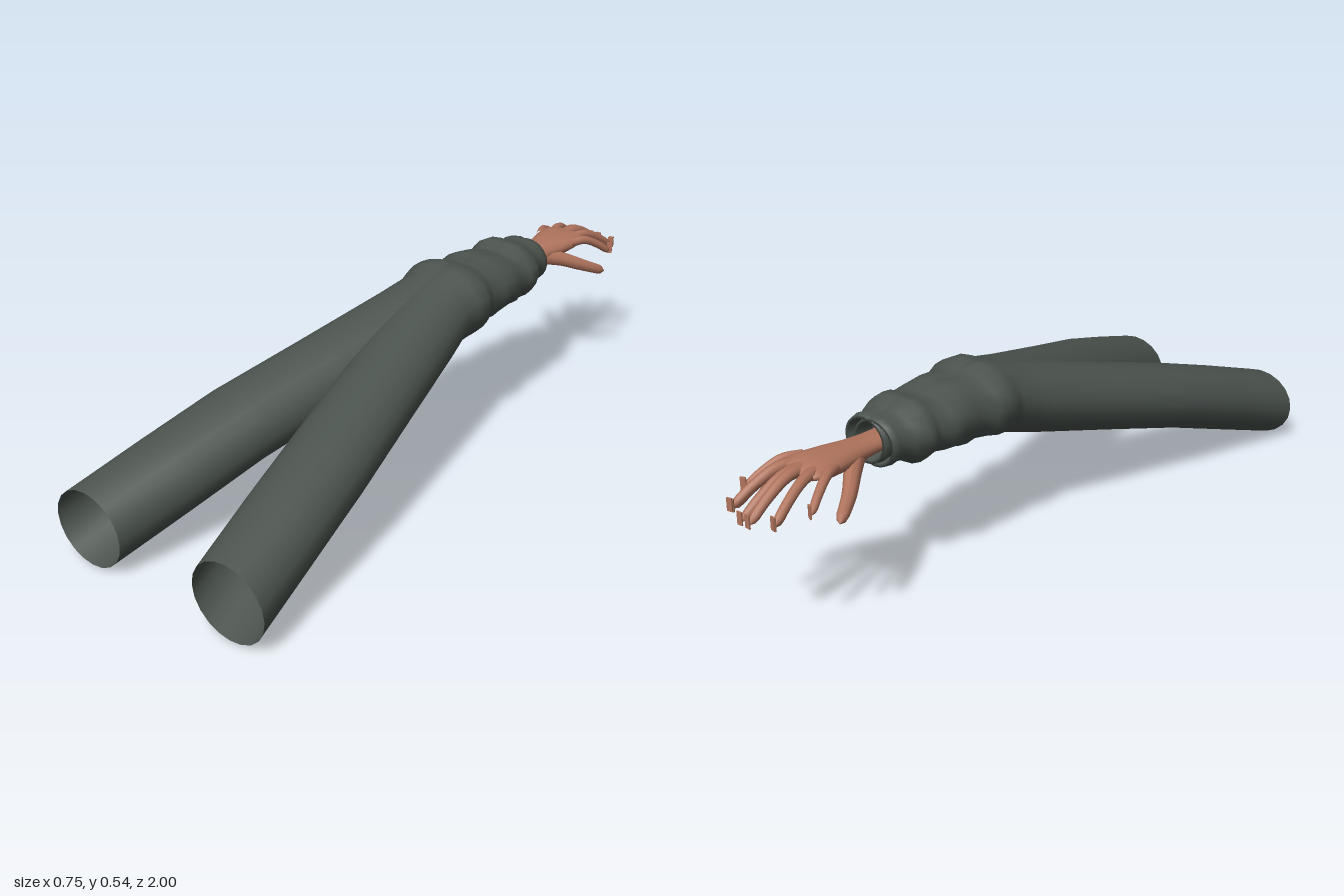
import * as THREE from 'three';

const cloth = new THREE.MeshStandardMaterial({ color: 0x4c544f, side: THREE.DoubleSide });
cloth.name = 'dark grey cloth';
const skin = new THREE.MeshStandardMaterial({ color: 0xb0745d });
skin.name = 'skin';

// Skin through upright elliptical rings [z, cx, cy, rx, ry], listed from +z to -z
function loft(rings, sides, s, wobble = () => 0) {
  const pos = [], index = [];
  rings.forEach(([z, cx, cy, rx, ry], i) => {
    for (let j = 0; j < sides; j++) {
      const a = (j / sides) * Math.PI * 2;
      const c = Math.cos(a), n = Math.sin(a);
      const k = 1 + wobble(z, s * c, n);
      pos.push(s * cx + c * rx * k, cy + n * ry * k, z);
      if (i < rings.length - 1) {
        const p = i * sides + j, q = i * sides + ((j + 1) % sides);
        index.push(p, p + sides, q, q, p + sides, q + sides);
      }
    }
  });
  const g = new THREE.BufferGeometry();
  g.setAttribute('position', new THREE.Float32BufferAttribute(pos, 3));
  g.setIndex(index);
  g.computeVertexNormals();
  return g;
}

// Tapered tube with a rounded tip
function finger(points, r0, r1, s) {
  const curve = new THREE.CatmullRomCurve3(points.map(([x, y, z]) => new THREE.Vector3(s * x, y, z)));
  const n = 16, sides = 10;
  const g = new THREE.TubeGeometry(curve, n, 1, sides);
  const p = g.attributes.position, v = new THREE.Vector3();
  for (let i = 0; i <= n; i++) {
    const t = i / n, c = curve.getPointAt(t);
    const e = Math.max(0, (t - 0.86) / 0.14);
    const r = (r0 + (r1 - r0) * t) * Math.sqrt(Math.max(0, 1 - e * e));
    for (let j = 0; j <= sides; j++) {
      const k = i * (sides + 1) + j;
      v.fromBufferAttribute(p, k).sub(c).multiplyScalar(r).add(c);
      p.setXYZ(k, v.x, v.y, v.z);
    }
  }
  g.computeVertexNormals();
  return g;
}

// Sleeve rings: z, outer x, radius x, top y, bottom y
const sleeveRings = [
  [1, 0.376, 0.122, 0.22, 0.003], [0.78, 0.338, 0.127, 0.288, 0.072], [0.55, 0.297, 0.13, 0.355, 0.145],
  [0.28, 0.231, 0.127, 0.423, 0.213], [0, 0.163, 0.123, 0.495, 0.282], [-0.1, 0.137, 0.113, 0.522, 0.312],
  [-0.14, 0.146, 0.116, 0.538, 0.325], [-0.18, 0.151, 0.12, 0.543, 0.33], [-0.215, 0.138, 0.112, 0.53, 0.335],
  [-0.25, 0.121, 0.1, 0.522, 0.336], [-0.29, 0.13, 0.11, 0.53, 0.337], [-0.335, 0.131, 0.112, 0.525, 0.35],
  [-0.38, 0.129, 0.11, 0.515, 0.352], [-0.41, 0.109, 0.092, 0.511, 0.352], [-0.44, 0.12, 0.103, 0.529, 0.346],
  [-0.47, 0.124, 0.108, 0.527, 0.348], [-0.505, 0.105, 0.089, 0.51, 0.366], [-0.53, 0.089, 0.073, 0.505, 0.372],
  [-0.555, 0.092, 0.076, 0.508, 0.368], [-0.574, 0.088, 0.072, 0.503, 0.37],
  [-0.574, 0.08, 0.064, 0.494, 0.379], [-0.52, 0.074, 0.06, 0.488, 0.386],
].map(([z, out, rx, top, bottom]) => [z, out - rx, (top + bottom) / 2, rx, (top - bottom) / 2]);

// Slight creasing of the bunched cloth
const creases = (z, c, n) => (z < -0.12 && z > -0.52 ? 0.025 * Math.sin(z * 38 + 5 * Math.atan2(n, c)) : 0);

const palmRings = [
  [-0.5, 0.006, 0.432, 0.036, 0.024], [-0.58, 0.006, 0.432, 0.037, 0.024], [-0.64, 0.005, 0.432, 0.042, 0.029],
  [-0.7, 0.008, 0.435, 0.053, 0.031], [-0.76, 0.01, 0.44, 0.063, 0.028], [-0.8, 0.011, 0.443, 0.064, 0.022],
  [-0.825, 0.011, 0.443, 0.056, 0.014], [-0.835, 0.011, 0.443, 0.001, 0.001],
];

// Fingers: base x, base z, tip x, tip z, tip y, radius
const fingers = [
  ['indexFinger', -0.034, -0.775, -0.078, -0.972, 0.375, 0.0165],
  ['middleFinger', 0.002, -0.785, 0.014, -0.995, 0.368, 0.017],
  ['ringFinger', 0.033, -0.775, 0.077, -0.968, 0.372, 0.016],
  ['littleFinger', 0.058, -0.75, 0.12, -0.892, 0.388, 0.0145],
];

function createArm(name, s) {
  const arm = new THREE.Group();
  arm.name = name;
  const add = (part, geometry, material) => {
    const m = new THREE.Mesh(geometry, material);
    m.name = part;
    arm.add(m);
    return m;
  };
  add('sleeve', loft(sleeveRings, 20, s, creases), cloth);
  add('palm', loft(palmRings, 20, s), skin);

  for (const [part, bx, bz, tx, tz, ty, r] of fingers) {
    const at = (t, y) => [bx + (tx - bx) * t, y, bz + (tz - bz) * t];
    const drop = 0.445 - ty;
    add(part, finger([at(0, 0.445), at(0.35, 0.446), at(0.7, 0.445 - drop * 0.42), at(1, ty)], r, r * 0.72, s), skin);
    // Upright nail at the fingertip
    const nail = add(part + 'Nail', new THREE.BoxGeometry(0.016, 0.036, 0.004), skin);
    nail.position.set(s * tx, ty + 0.012, tz - 0.003);
    nail.rotation.y = s * Math.atan2(bx - tx, bz - tz) * -1;
  }

  // Thumb reaches inward and down
  add('thumb', finger([[-0.012, 0.425, -0.635], [-0.06, 0.408, -0.695], [-0.103, 0.382, -0.75], [-0.146, 0.347, -0.826]],
    0.027, 0.0145, s), skin);
  return arm;
}

export function createModel() {
  const model = new THREE.Group();
  model.name = 'pairOfArms';
  model.add(createArm('leftArm', 1), createArm('rightArm', -1));
  return model;
}
